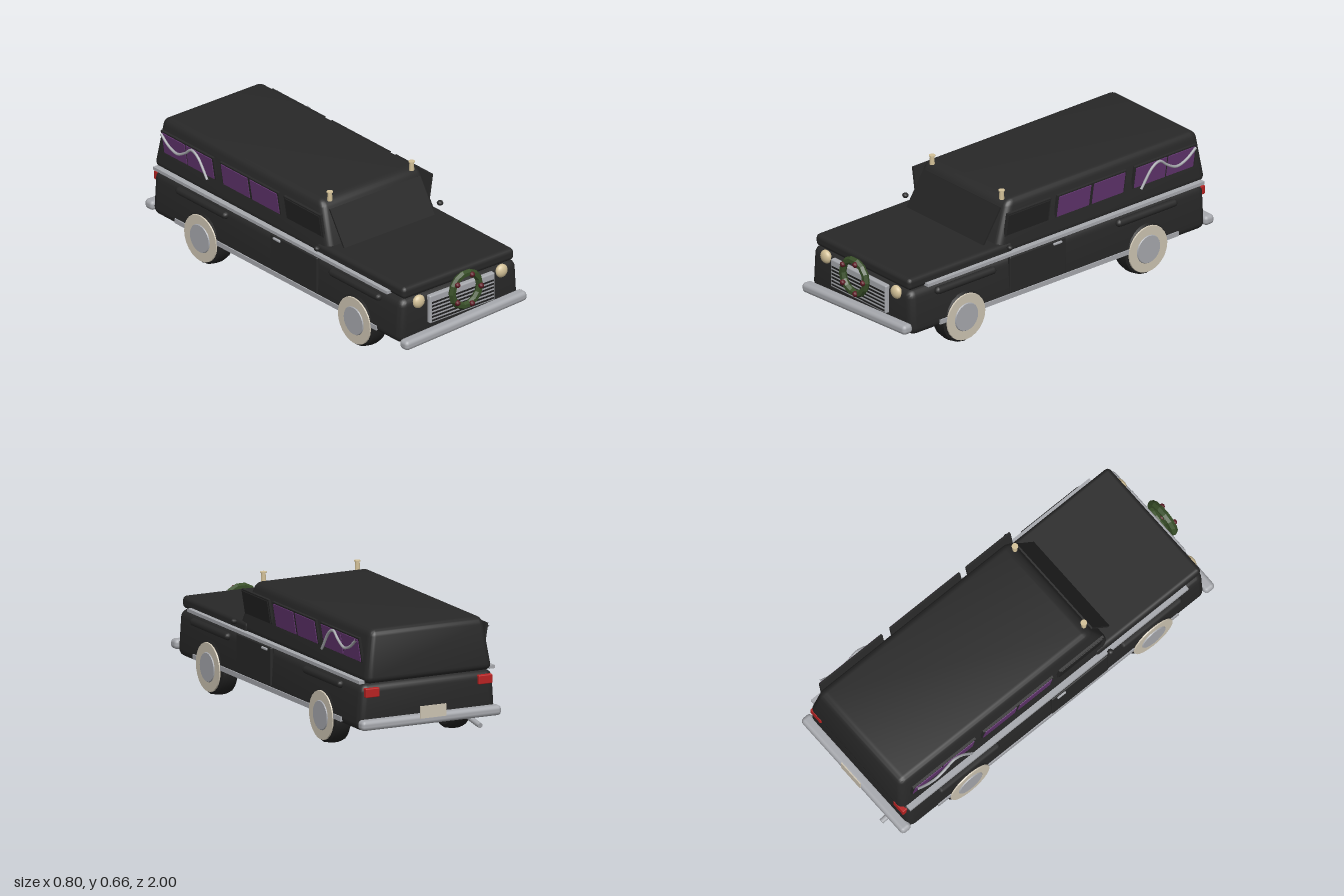
import * as THREE from 'three';
import { mergeVertices, toCreasedNormals } from 'three/addons/utils/BufferGeometryUtils.js';
import { RoundedBoxGeometry } from 'three/addons/geometries/RoundedBoxGeometry.js';

const mat = (name, color) => {
  const m = new THREE.MeshStandardMaterial({ color });
  m.name = name;
  return m;
};

export function createModel() {
  const car = new THREE.Group();
  car.name = 'hearse';
  const paint = mat('black paint', 0x282828);
  const rubber = mat('tyre rubber', 0x202020);
  const glass = mat('dark glass', 0x232323);
  const curtain = mat('purple curtain', 0x653672);
  const chrome = mat('chrome', 0xa6a8ad);
  const cream = mat('cream lamp', 0xd3c198);
  const whitewall = mat('whitewall', 0xcdc4b2);
  const green = mat('wreath green', 0x384f28);
  const berryRed = mat('berry red', 0x5e1a24);
  const lampRed = mat('tail lamp red', 0xb82222);

  const add = (name, geo, material, x = 0, y = 0, z = 0, parent = car) => {
    const m = new THREE.Mesh(geo, material);
    m.name = name;
    m.position.set(x, y, z);
    parent.add(m);
    return m;
  };
  const box = (w, h, d) => new THREE.BoxGeometry(w, h, d);
  const rbox = (w, h, d, r, seg = 2) => new RoundedBoxGeometry(w, h, d, seg, r);

  // Rounded box whose vertices are moved by a rule of height (t = 0 at the bottom, 1 at the top)
  const shaped = (w, h, d, r, rule) => {
    let g = rbox(w, h, d, r, 3);
    const p = g.attributes.position;
    for (let i = 0; i < p.count; i++) {
      const [x, z] = rule(p.getX(i), p.getZ(i), p.getY(i) / h + 0.5);
      p.setX(i, x);
      p.setZ(i, z);
    }
    g.deleteAttribute('normal');
    g.deleteAttribute('uv');
    g = mergeVertices(g, 1e-5);
    return toCreasedNormals(g, 0.6);
  };

  // Lower body, bonnet and cabin
  add('lowerBody', shaped(0.745, 0.23, 1.855, 0.04, (x, z, t) => [x * (1 - 0.04 * t), z]), paint, 0, 0.243, -0.003);
  add('bonnet', rbox(0.69, 0.062, 0.66, 0.022), paint, 0, 0.389, 0.59);
  const lerp = THREE.MathUtils.lerp;
  add('cabin', shaped(0.69, 0.262, 1, 0.035, (x, z, t) => [
    x * lerp(1, 0.885, t),
    lerp(lerp(-0.957, -0.928, t), lerp(0.375, 0.262, t), z + 0.5),
  ]), paint, 0, 0.491, 0);

  // Sloping windscreen
  const screen = add('windscreen', box(0.56, 0.2, 0.009), glass, 0, 0.5, 0.343);
  screen.rotation.x = -Math.atan2(0.11, 0.17);

  // Wheels: chamfered tyre, whitewall and hub cap
  const tyreProfile = [[0, -0.05], [0.115, -0.05], [0.132, -0.038], [0.137, -0.015], [0.137, 0.015],
    [0.132, 0.038], [0.115, 0.05], [0, 0.05]].map(([r, y]) => new THREE.Vector2(r, y));
  const tyreGeo = toCreasedNormals(new THREE.LatheGeometry(tyreProfile, 20), 0.5);
  const ringGeo = new THREE.CylinderGeometry(0.119, 0.121, 0.006, 24);
  const hubGeo = new THREE.CylinderGeometry(0.07, 0.075, 0.008, 20);
  const wheel = (s, z) => {
    const g = new THREE.Group();
    g.name = 'wheel';
    g.position.set(s * 0.325, 0.138, z);
    g.rotation.z = -s * Math.PI / 2;
    add('tyre', tyreGeo, rubber, 0, 0, 0, g);
    add('whitewallRing', ringGeo, whitewall, 0, 0.052, 0, g);
    add('hubCap', hubGeo, chrome, 0, 0.056, 0, g);
    car.add(g);
  };

  // Side window leaning outward: dark frame with a pane on its face
  const sideWindow = (s, z0, z1, material) => {
    const g = new THREE.Group();
    g.name = 'sideWindow';
    g.position.set(s * 0.334, 0.516, (z0 + z1) / 2);
    g.rotation.z = -s * 0.16;
    const len = z0 - z1;
    add('windowFrame', box(0.012, 0.128, len + 0.02), paint, 0, 0, 0, g);
    add('windowPane', box(0.008, 0.112, len), material, s * 0.006, 0, 0, g);
    car.add(g);
  };

  const ribbon = [[-0.527, 0.455], [-0.6, 0.55], [-0.645, 0.568], [-0.69, 0.535], [-0.75, 0.507],
    [-0.81, 0.523], [-0.872, 0.568]];

  for (const s of [1, -1]) {
    wheel(s, 0.59);
    wheel(s, -0.555);

    sideWindow(s, 0.295, 0.04, glass);
    for (const [a, b] of [[-0.02, -0.22], [-0.24, -0.435], [-0.505, -0.697], [-0.707, -0.875]]) {
      sideWindow(s, a, b, curtain);
    }

    // Curved bar over the rear windows
    const path = new THREE.CatmullRomCurve3(ribbon.map(([z, y]) => new THREE.Vector3(s * 0.359, y, z)));
    add('curvedSideBar', new THREE.TubeGeometry(path, 28, 0.007, 6), chrome);

    // Doors, trims and fender bulges
    add('door', rbox(0.02, 0.19, 0.35, 0.006), paint, s * 0.366, 0.266, 0.135);
    add('doorHandle', rbox(0.012, 0.012, 0.052, 0.004), chrome, s * 0.379, 0.348, 0.015);
    add('beltTrim', box(0.03, 0.016, 1.74), chrome, s * 0.352, 0.369, -0.05);
    add('sillTrim', box(0.012, 0.024, 1.5), chrome, s * 0.37, 0.157, 0.0);
    for (const z of [0.585, -0.555]) {
      const bulge = add('fenderBulge', new THREE.CapsuleGeometry(0.02, 0.34, 4, 8), paint, s * 0.365, 0.324, z);
      bulge.rotation.x = Math.PI / 2;
    }

    // Mirrors, lamps and lights
    const mirror = add('mirror', new THREE.SphereGeometry(0.016, 8, 6), paint, s * 0.382, 0.419, 0.318);
    mirror.scale.y = 0.85;
    add('roofLamp', new THREE.CylinderGeometry(0.011, 0.013, 0.045, 8), cream, s * 0.254, 0.635, 0.26);
    add('roofLampCap', new THREE.CylinderGeometry(0.016, 0.016, 0.005, 10), cream, s * 0.254, 0.658, 0.26);
    const head = add('headlight', new THREE.SphereGeometry(0.034, 20, 14), cream, s * 0.257, 0.33, 0.925);
    head.scale.z = 0.65;
    add('tailLight', rbox(0.075, 0.045, 0.03, 0.005), lampRed, s * 0.305, 0.318, -0.93);
  }

  // Grille
  add('grille', rbox(0.405, 0.147, 0.03, 0.008), chrome, 0, 0.272, 0.93);
  for (let i = 0; i < 6; i++) {
    add('grilleSlot', box(0.384, 0.009, 0.003), rubber, 0, 0.214 + i * 0.0187, 0.945);
  }

  // Wreath with berries
  add('wreath', toCreasedNormals(new THREE.TorusGeometry(0.085, 0.0185, 6, 14), 0.3), green, 0, 0.33, 0.968);
  for (let i = 0; i < 5; i++) {
    const a = i * Math.PI * 2 / 5;
    add('berry', new THREE.SphereGeometry(0.0145, 8, 6), berryRed,
      0.081 * Math.cos(a), 0.33 + 0.081 * Math.sin(a), 0.985);
  }

  // Bumpers, the front one hanging askew
  const bumper = rbox(0.755, 0.05, 0.06, 0.02);
  add('frontBumper', bumper, chrome, 0, 0.16, 0.95).rotation.z = 0.05;
  add('rearBumper', bumper, chrome, 0, 0.165, -0.947);

  // Rear plate and exhaust
  add('rearPlate', box(0.14, 0.06, 0.006), whitewall, 0, 0.204, -0.981);
  const exhaust = add('exhaustPipe', new THREE.CylinderGeometry(0.013, 0.013, 0.11, 10), chrome, -0.246, 0.117, -0.944);
  exhaust.rotation.x = Math.PI / 2 - 0.15;

  return car;
}
